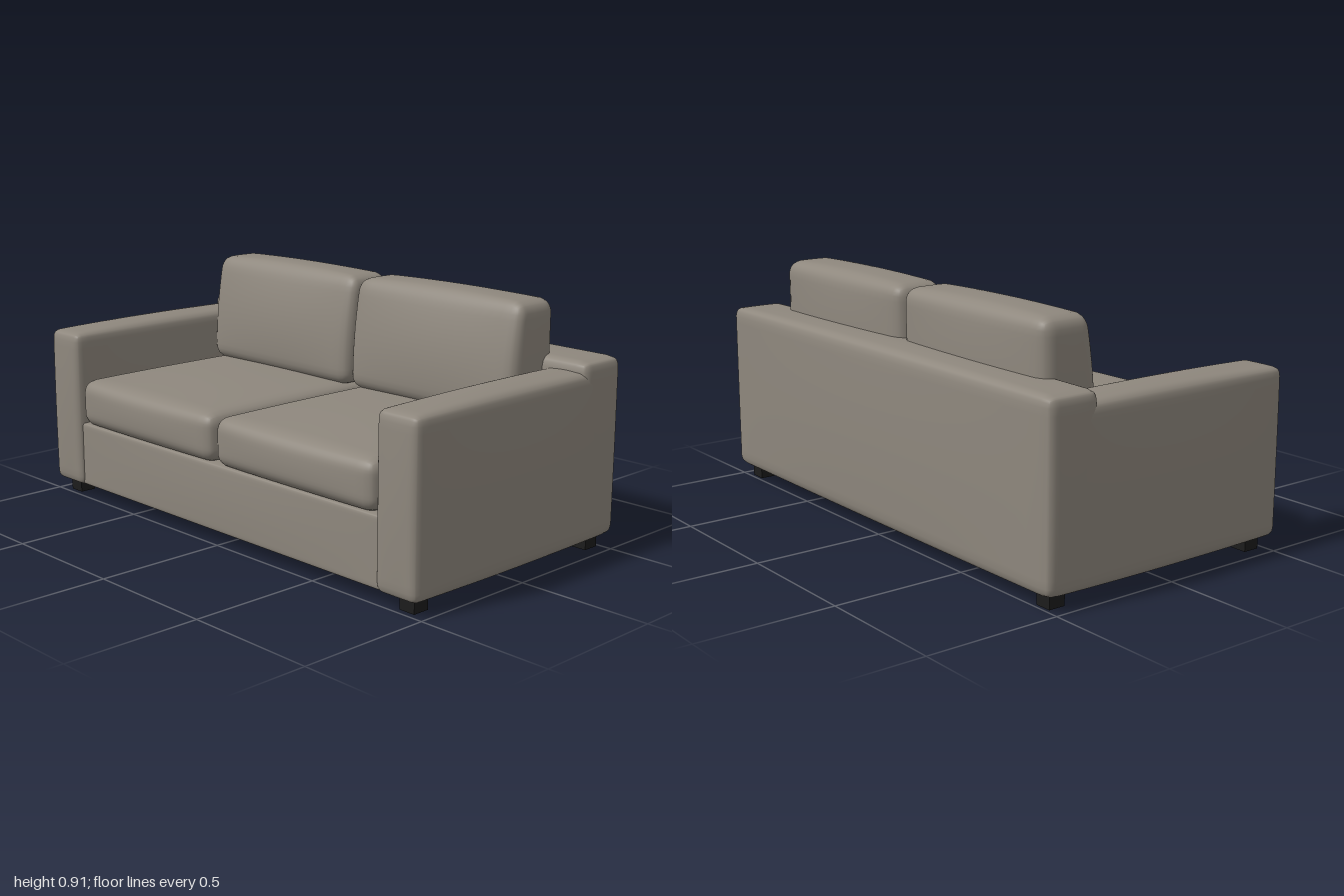
import * as THREE from 'three';
import { mergeVertices } from 'three/addons/utils/BufferGeometryUtils.js';

// Upholstered block between two corners: rounded edges, softly bulging faces.
// bulge = [x, y, z] swelling in the middle of each pair of faces.
function pillow(min, max, r, bulge, shape) {
  const SEG = 20;
  const half = min.map((v, i) => (max[i] - v) / 2);
  const mid = min.map((v, i) => (max[i] + v) / 2);
  let geo = new THREE.BoxGeometry(2, 2, 2, SEG, SEG, SEG);
  geo.deleteAttribute('normal');
  geo.deleteAttribute('uv');
  geo = mergeVertices(geo);
  const pos = geo.attributes.position;
  const p = new THREE.Vector3(), inner = new THREE.Vector3();
  for (let i = 0; i < pos.count; i++) {
    // crowd the grid lines towards the edges
    const u = [pos.getX(i), pos.getY(i), pos.getZ(i)].map(v => Math.sin(v * Math.PI / 2));
    p.set(u[0] * half[0], u[1] * half[1], u[2] * half[2]);
    const c = p.toArray().map((v, k) => THREE.MathUtils.clamp(v, r - half[k], half[k] - r));
    inner.fromArray(c);
    p.sub(inner).setLength(r).add(inner);
    const q = p.toArray();
    const n = q.map((v, k) => v / half[k]);
    const f = n.map(v => 1 - v * v);
    const out = q.map((v, k) => v + mid[k] + bulge[k] * n[k] * f[(k + 1) % 3] * f[(k + 2) % 3]);
    if (shape) shape(out, n);
    pos.setXYZ(i, out[0], out[1], out[2]);
  }
  geo.computeVertexNormals();
  return geo;
}

export function createModel() {
  const sofa = new THREE.Group();
  sofa.name = 'sofa';
  const fabric = new THREE.MeshStandardMaterial({ color: 0x8e877d });
  fabric.name = 'taupe fabric';
  const black = new THREE.MeshStandardMaterial({ color: 0x1c1c1c });
  black.name = 'black feet';

  const add = (name, geo, mat = fabric) => {
    const mesh = new THREE.Mesh(geo, mat);
    mesh.name = name;
    sofa.add(mesh);
    return mesh;
  };

  // Frame
  add('base', pillow([-0.83, 0.052, -0.5], [0.83, 0.305, 0.505], 0.012, [0, 0.008, 0.005]));
  add('backrest', pillow([-0.99, 0.05, -0.53], [0.99, 0.703, -0.32], 0.035, [0.004, 0.01, 0.009]));

  for (const s of [-1, 1]) {
    const side = s < 0 ? 'right' : 'left';
    const span = (a, b) => (s > 0 ? [a, b] : [-b, -a]);

    // Arm
    const [a0, a1] = span(0.808, 0.99);
    add(side + 'Arm', pillow([a0, 0.05, -0.5], [a1, 0.66, 0.52], 0.03, [0.008, 0.015, 0.008]));

    // Seat cushion
    const [c0, c1] = span(0.006, 0.8);
    add(side + 'SeatCushion', pillow([c0, 0.302, -0.33], [c1, 0.485, 0.52], 0.05, [0.004, 0.015, 0.012]));

    // Back cushion, its front leaning back and its top thinner than its foot
    add(side + 'BackCushion', pillow([c0, 0.482, -0.395], [c1, 0.9, -0.15], 0.05, [0.004, 0.012, 0.016],
      (v, n) => {
        const t = (n[1] + 1) / 2;
        v[2] += n[2] > 0 ? -0.05 * t * t * n[2] : -0.012 * t * (1 - t) * n[2];
      }));

    // Feet
    for (const z of [0.443, -0.453]) {
      const foot = add(side + (z > 0 ? 'FrontFoot' : 'BackFoot'), new THREE.BoxGeometry(0.064, 0.07, 0.064), black);
      foot.position.set(s * 0.914, 0.035, z);
    }
  }
  return sofa;
}
